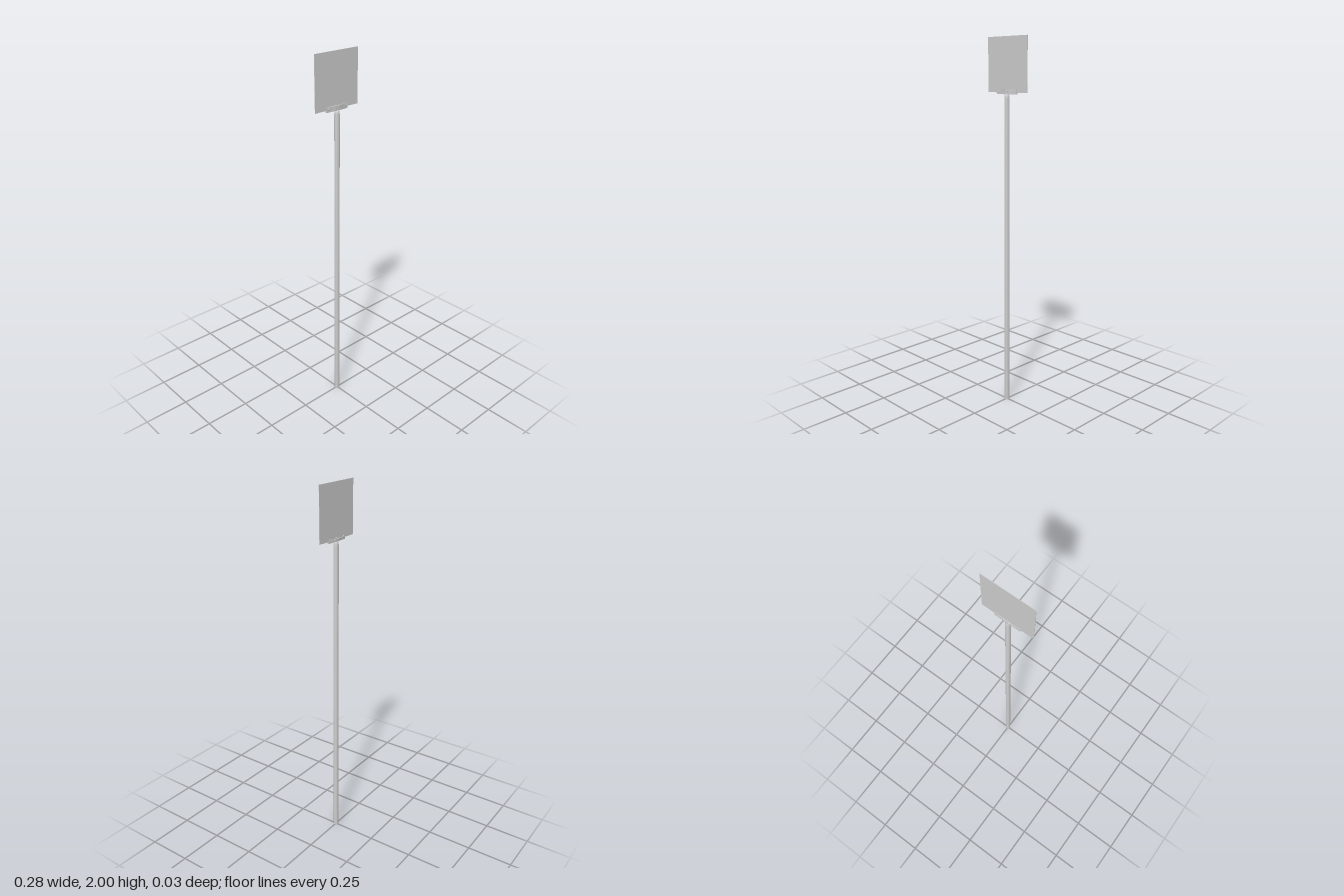
import * as THREE from 'three';
import { toCreasedNormals } from 'three/addons/utils/BufferGeometryUtils.js';

const grey = new THREE.MeshStandardMaterial({ color: 0xcccccc });

function add(group, name, geometry, x = 0, y = 0, z = 0) {
  const mesh = new THREE.Mesh(toCreasedNormals(geometry, 0.6), grey);
  mesh.name = name;
  mesh.position.set(x, y, z);
  group.add(mesh);
  return mesh;
}

// Clamp jaw: a flat strip swelling out around the post, extruded upwards
function jawGeometry(height) {
  const shape = new THREE.Shape();
  shape.moveTo(-0.07, 0);
  shape.lineTo(0.07, 0);
  shape.lineTo(0.07, 0.004);
  shape.lineTo(0.02, 0.0055);
  shape.quadraticCurveTo(0, 0.011, -0.02, 0.0055);
  shape.lineTo(-0.07, 0.004);
  shape.closePath();
  const geo = new THREE.ExtrudeGeometry(shape, { depth: height, bevelEnabled: false, curveSegments: 8 });
  geo.rotateX(Math.PI / 2); // outline lies in xz, thickness towards +z
  geo.translate(0, height, 0);
  return geo;
}

export function createModel() {
  const model = new THREE.Group();
  model.name = 'signPost';

  // Round post with a shoulder narrowing into the clamp
  const profile = [
    [0, 0], [0.014, 0], [0.014, 1.69], [0.0125, 1.702],
    [0.009, 1.71], [0.005, 1.715], [0, 1.717],
  ].map(([r, y]) => new THREE.Vector2(r, y));
  add(model, 'post', new THREE.LatheGeometry(profile, 24));

  // Thin square sign plate
  add(model, 'signPlate', new THREE.BoxGeometry(0.284, 0.282, 0.002), 0, 1.859, -0.003);

  // Clamp jaws on both faces of the plate, back one lower in profile
  const clamp = new THREE.Group();
  clamp.name = 'clamp';
  model.add(clamp);
  add(clamp, 'frontJaw', jawGeometry(0.026), 0, 1.709, -0.001);
  const back = add(clamp, 'backJaw', jawGeometry(0.014), 0, 1.709, -0.003);
  back.rotation.y = Math.PI;

  // Bolts through the clamp: domed head in front, nut behind
  for (const x of [-0.058, 0.005, 0.058]) {
    const y = 1.725;
    const head = new THREE.SphereGeometry(0.005, 12, 6, 0, Math.PI * 2, 0, Math.PI / 2);
    head.scale(1, 0.6, 1);
    head.rotateX(Math.PI / 2);
    add(clamp, 'boltHead', head, x, y, x === 0.005 ? 0.006 : 0.003);
    const nut = new THREE.CylinderGeometry(0.005, 0.005, 0.006, 6);
    nut.rotateX(Math.PI / 2);
    add(clamp, 'nut', nut, x, y, -0.006);
  }
  return model;
}
